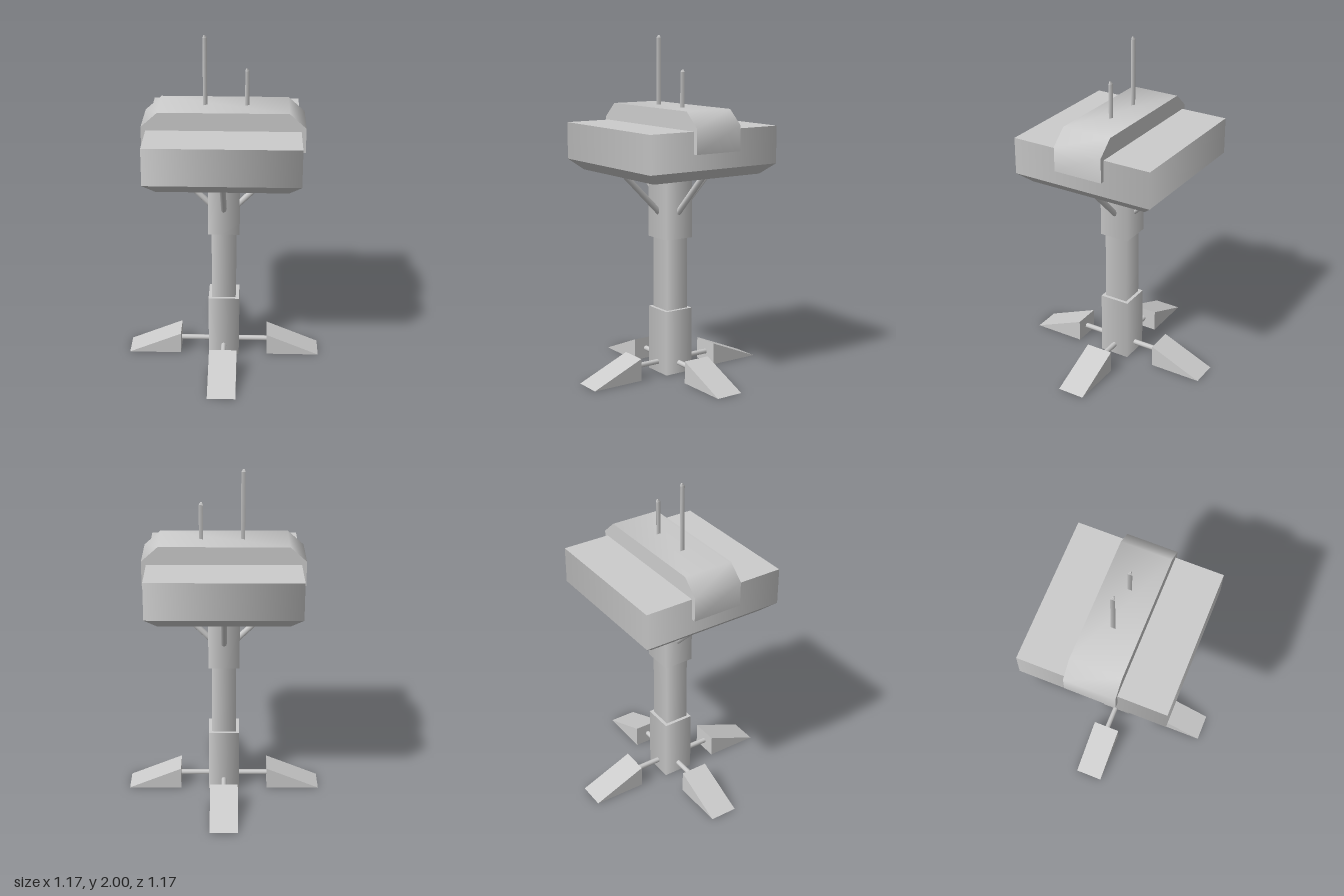
import * as THREE from 'three';
import { toCreasedNormals } from 'three/addons/utils/BufferGeometryUtils.js';

const material = new THREE.MeshStandardMaterial({ color: 0xcccccc });

function add(parent, name, geometry) {
  const mesh = new THREE.Mesh(geometry, material);
  mesh.name = name;
  parent.add(mesh);
  return mesh;
}

// Square block or frustum with softly shaded sides, between two heights
function squareBlock(halfBottom, halfTop, y0, y1) {
  const g = new THREE.CylinderGeometry(halfTop * Math.SQRT2, halfBottom * Math.SQRT2, y1 - y0, 4);
  return g.rotateY(Math.PI / 4).translate(0, (y0 + y1) / 2, 0);
}

// Profile in x/y, extruded symmetrically along z
function slab(points, width, crease) {
  const shape = new THREE.Shape(points.map(([x, y]) => new THREE.Vector2(x, y)));
  const g = new THREE.ExtrudeGeometry(shape, { depth: width, bevelEnabled: false });
  return toCreasedNormals(g.translate(0, 0, -width / 2), crease);
}

// Straight round bar between two points in the x/y plane
function bar(x0, y0, x1, y1, radius) {
  const dx = x1 - x0, dy = y1 - y0;
  const g = new THREE.CylinderGeometry(radius, radius, Math.hypot(dx, dy), 8);
  return g.rotateZ(Math.atan2(dy, dx) - Math.PI / 2).translate((x0 + x1) / 2, (y0 + y1) / 2, 0);
}

export function createModel() {
  const model = new THREE.Group();

  // Stepped square column
  add(model, 'columnBase', squareBlock(0.092, 0.092, 0, 0.39));
  add(model, 'columnShaft', squareBlock(0.072, 0.072, 0.39, 0.82));
  add(model, 'columnCollar', squareBlock(0.092, 0.092, 0.82, 1.22));

  // Wide head with a tapered underside
  add(model, 'headUnderside', squareBlock(0.37, 0.438, 1.21, 1.272));
  add(model, 'headBody', squareBlock(0.438, 0.438, 1.272, 1.49));

  // Chamfered band that wraps over the head
  add(model, 'topBand', slab([
    [-0.465, 1.365], [0.465, 1.365], [0.465, 1.51],
    [0.37, 1.595], [-0.37, 1.595], [-0.465, 1.51],
  ], 0.302, 0.9));

  // Three-sided antennas with pointed tips
  for (const [name, x, top] of [['tallAntenna', -0.112, 2], ['shortAntenna', 0.127, 1.81]]) {
    const antenna = new THREE.Group();
    antenna.name = name;
    antenna.position.x = x;
    const length = top - 0.015 - 1.58;
    add(antenna, 'rod', new THREE.CylinderGeometry(0.016, 0.016, length, 3)
      .rotateY(Math.PI / 2).translate(0, 1.58 + length / 2, 0));
    add(antenna, 'tip', new THREE.CylinderGeometry(0.006, 0.016, 0.015, 3)
      .rotateY(Math.PI / 2).translate(0, top - 0.0075, 0));
    model.add(antenna);
  }

  // Four sides, each with a wedge foot, its connecting rod and a head strut
  const foot = slab([[0.265, 0], [0.583, 0], [0.265, 0.133]], 0.166, 0.5);
  const footRod = bar(0.05, 0.064, 0.28, 0.064, 0.016);
  const strut = bar(0.07, 0.965, 0.33, 1.225, 0.018);
  ['left', 'back', 'right', 'front'].forEach((side, i) => {
    const support = new THREE.Group();
    support.name = side + 'Support';
    support.rotation.y = i * Math.PI / 2;
    add(support, 'foot', foot);
    add(support, 'footRod', footRod);
    add(support, 'headStrut', strut);
    model.add(support);
  });

  return model;
}
